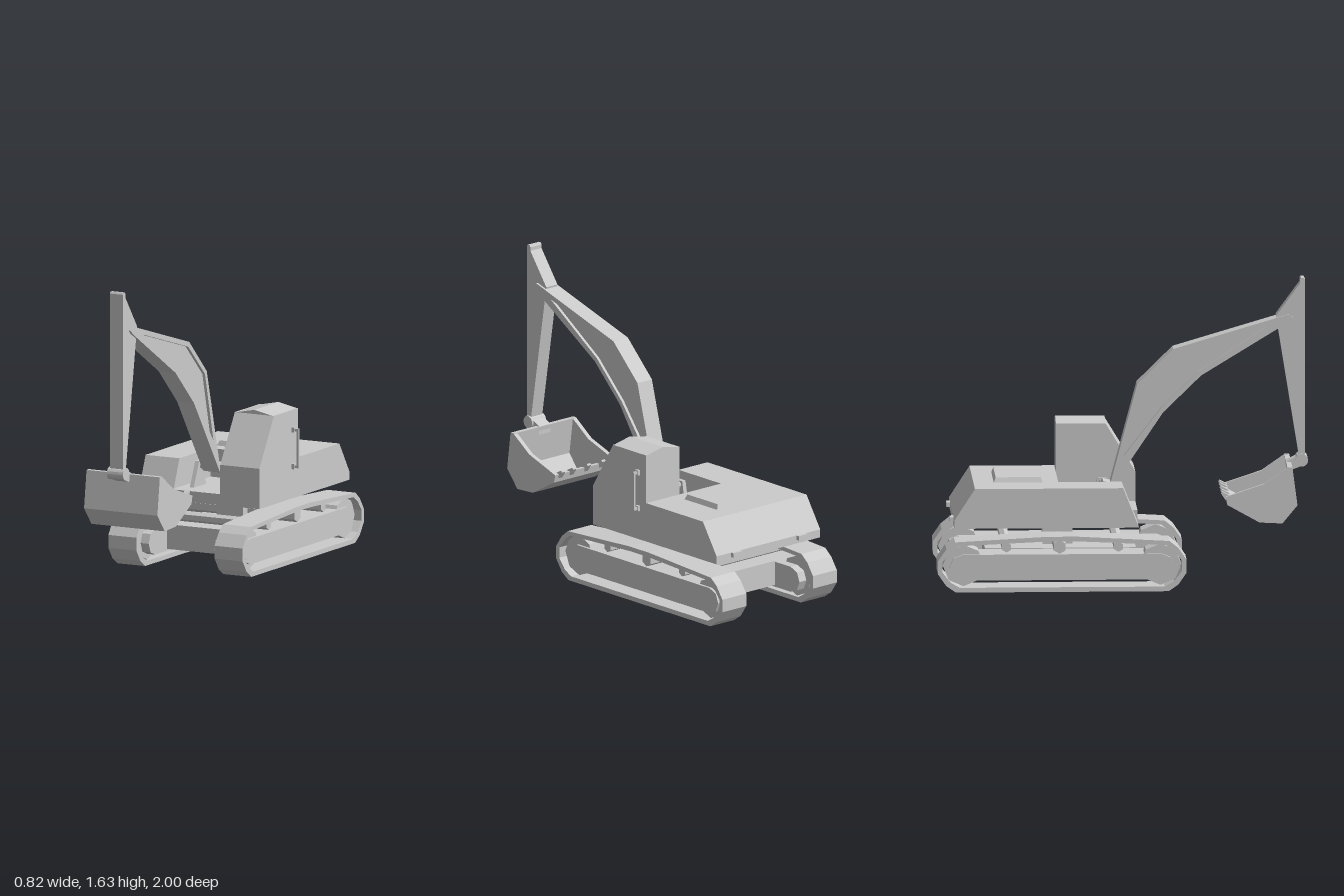
import * as THREE from 'three';

const mat = new THREE.MeshStandardMaterial({ color: 0xcccccc, flatShading: true });

function add(parent, name, geo, x = 0, y = 0, z = 0) {
  const m = new THREE.Mesh(geo, mat);
  m.name = name;
  m.position.set(x, y, z);
  parent.add(m);
  return m;
}

// box given by its limits
function box(parent, name, x0, x1, y0, y1, z0, z1) {
  return add(parent, name, new THREE.BoxGeometry(x1 - x0, y1 - y0, z1 - z0),
    (x0 + x1) / 2, (y0 + y1) / 2, (z0 + z1) / 2);
}

// side profile of [z, y] points, extruded from x0 to x1 (counter-clockwise when it has a hole)
function side(parent, name, pts, x0, x1, hole) {
  const toVec = (p) => new THREE.Vector2(p[0], p[1]);
  const shape = new THREE.Shape(pts.map(toVec));
  if (hole) shape.holes.push(new THREE.Path(hole.map(toVec)));
  const geo = new THREE.ExtrudeGeometry(shape, { depth: x1 - x0, bevelEnabled: false });
  geo.rotateY(-Math.PI / 2);
  return add(parent, name, geo, x1, 0, 0);
}

// cylinder lying along x
function axle(parent, name, r, x0, x1, y, z, sides, turn = 0) {
  const geo = new THREE.CylinderGeometry(r, r, x1 - x0, sides);
  geo.rotateY(turn);
  geo.rotateZ(Math.PI / 2);
  return add(parent, name, geo, (x0 + x1) / 2, y, z);
}

function group(parent, name) {
  const g = new THREE.Group();
  g.name = name;
  parent.add(g);
  return g;
}

function buildUndercarriage(root) {
  const g = group(root, 'undercarriage');
  const mid = -0.333;
  // half outline of a belt as [distance from middle, y], mirrored to a loop
  const half = [[0.57, 0], [0.622, 0.035], [0.667, 0.1], [0.667, 0.17], [0.622, 0.235], [0.575, 0.273], [0.08, 0.3]];
  const loop = (sz, sy) => [
    ...half.map(([d, y]) => [mid + d * sz, 0.15 + (y - 0.15) * sy]),
    ...half.slice().reverse().map(([d, y]) => [mid - d * sz, 0.15 + (y - 0.15) * sy]),
  ];
  const belt = loop(1, 1), beltInner = loop(0.963, 0.83);
  const frame = [[0.2, 0.2], [0.25, 0.18], [0.27, 0.13], [0.25, 0.08], [0.2, 0.06],
    [-0.866, 0.06], [-0.916, 0.08], [-0.936, 0.13], [-0.916, 0.18], [-0.866, 0.2]];
  for (const s of [1, -1]) {
    const span = (a, b) => (s > 0 ? [a, b] : [-b, -a]);
    side(g, 'trackBelt', belt, ...span(0.24, 0.412), beltInner);
    side(g, 'trackFrame', frame, ...span(0.2, 0.385));
    for (const z of [0.195, -0.861]) {
      axle(g, 'trackWheel', 0.112, ...span(0.25, 0.37), 0.14, z, 8);
    }
  }
  for (const [z, r] of [[-0.03, 0.028], [-0.345, 0.037], [-0.63, 0.028]]) {
    axle(g, 'rollerAxle', r, -0.37, 0.37, 0.237, z, 6, Math.PI / 6);
  }
  box(g, 'chassis', -0.205, 0.205, 0.07, 0.205, -0.74, 0.07);
  box(g, 'turntable', -0.08, 0.08, 0.2, 0.345, -0.425, -0.265);
}

function buildBody(root) {
  const g = group(root, 'upperBody');
  side(g, 'engineHousing', [[-0.345, 0.34], [-0.345, 0.555], [-0.8, 0.555], [-0.91, 0.385], [-0.91, 0.34]], -0.373, 0.373);
  side(g, 'sideHousing', [[-0.345, 0.34], [0.08, 0.34], [-0.005, 0.555], [-0.345, 0.555]], -0.373, -0.165);
  box(g, 'boomDeck', -0.165, 0.13, 0.34, 0.4, -0.345, 0.08);

  // cab with a shallow gabled roof
  side(g, 'cab', [[-0.345, 0.34], [0.08, 0.34], [0.08, 0.56], [-0.08, 0.822], [-0.345, 0.822]], 0.133, 0.373);
  const gable = new THREE.Shape([[0.133, 0.82], [0.373, 0.82], [0.253, 0.845]].map((p) => new THREE.Vector2(...p)));
  add(g, 'cabRoof', new THREE.ExtrudeGeometry(gable, { depth: 0.265, bevelEnabled: false }), 0, 0, -0.345);

  // grab handle
  for (const y of [0.515, 0.715]) {
    box(g, 'handleMount', 0.37, 0.388, y - 0.014, y + 0.014, -0.297, -0.273);
    box(g, 'handleArm', 0.38, 0.41, y - 0.007, y + 0.007, -0.292, -0.278);
  }
  box(g, 'handleRod', 0.4, 0.412, 0.508, 0.722, -0.291, -0.279);

  // hatch with tapered sides
  const hatch = new THREE.BoxGeometry(0.35, 0.035, 0.268);
  const p = hatch.attributes.position;
  for (let i = 0; i < p.count; i++) {
    if (p.getY(i) > 0) p.setXYZ(i, p.getX(i) * 0.92, p.getY(i), p.getZ(i) * 0.9);
  }
  add(g, 'roofHatch', hatch, 0, 0.565, -0.56);

  for (const x of [-0.235, 0.235]) box(g, 'rearLug', x - 0.033, x + 0.033, 0.36, 0.385, -0.93, -0.9);

  // filler cap on the deck
  add(g, 'fillerCapBase', new THREE.CylinderGeometry(0.042, 0.042, 0.02, 8), -0.003, 0.41, -0.27);
  add(g, 'fillerCap', new THREE.CylinderGeometry(0.026, 0.026, 0.03, 8), -0.003, 0.415, -0.27);

  // boom brackets and pivot
  for (const x of [-0.095, 0.095]) {
    side(g, 'boomBracket', [[-0.15, 0.4], [-0.015, 0.4], [-0.075, 0.535], [-0.125, 0.535]], x - 0.012, x + 0.012);
  }
  axle(g, 'boomPivot', 0.018, -0.11, 0.11, 0.51, -0.1, 8);
}

function buildArm(root) {
  const g = group(root, 'boomAndStick');
  const boom = [[0.898, 1.44], [0.276, 1.255], [0.083, 1.065], [-0.06, 0.53], [-0.1, 0.54], [-0.12, 0.51],
    [-0.1, 0.48], [-0.062, 0.489], [0.223, 0.912], [0.426, 1.11], [0.9, 1.4], [0.92, 1.42]];
  const recess = [[0.78, 1.376], [0.288, 1.231], [0.103, 1.051], [0.01, 0.675], [0.21, 0.934], [0.41, 1.131]];
  side(g, 'boomFlange', boom, -0.052, 0.052, recess);
  side(g, 'boomWeb', recess, -0.036, 0.036);
  side(g, 'stick', [[0.984, 1.625], [0.978, 1.635], [0.962, 1.635], [0.956, 1.625], [0.956, 1.605], [0.828, 1.43],
    [0.952, 0.66], [0.984, 0.66]], -0.04, 0.04);
}

function buildBucket(root) {
  const g = group(root, 'bucket');
  const outer = [[0.909, 0.635], [0.936, 0.43], [0.855, 0.332], [0.732, 0.338], [0.56, 0.434], [0.55, 0.477]];
  const inner = [[0.572, 0.477], [0.58, 0.45], [0.738, 0.36], [0.845, 0.355], [0.91, 0.435], [0.882, 0.635]];
  side(g, 'bucketShell', [...outer, ...inner], -0.224, 0.224);
  const cheek = [...outer, [0.759, 0.547], [0.887, 0.636]];
  side(g, 'bucketCheek', cheek, 0.2, 0.225);
  side(g, 'bucketCheek', cheek, -0.225, -0.2);
  for (const x of [-0.185, -0.105, 0, 0.105, 0.185]) {
    side(g, 'tooth', [[0.575, 0.48], [0.533, 0.502], [0.527, 0.492], [0.552, 0.455]], x - 0.013, x + 0.013);
  }
  // hinge to the stick
  axle(g, 'bucketHinge', 0.035, -0.05, 0.05, 0.645, 0.965, 16);
  side(g, 'bucketLink', [[0.965, 0.676], [0.885, 0.636], [0.885, 0.59], [0.92, 0.595], [0.965, 0.612]], -0.04, 0.04);
}

export function createModel() {
  const root = new THREE.Group();
  root.name = 'excavator';
  buildUndercarriage(root);
  buildBody(root);
  buildArm(root);
  buildBucket(root);
  return root;
}
